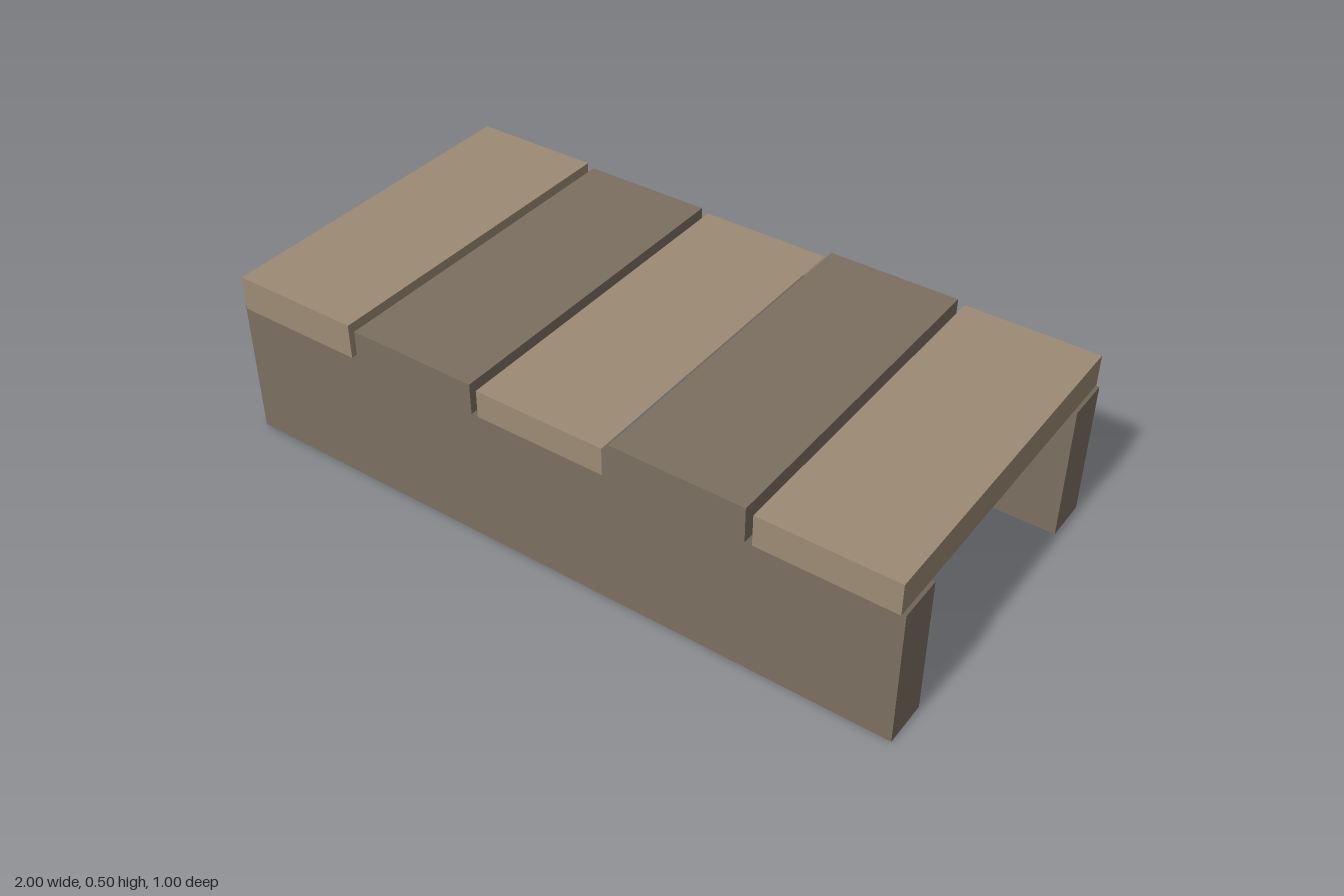
import * as THREE from 'three';

// Box face order: +x, -x, +y, -y, +z, -z
const PX = 0, NX = 1, PY = 2, NY = 3;

// Box shell with the listed faces left open
function openBox(w, h, d, omitted) {
  const geometry = new THREE.BoxGeometry(w, h, d);
  const index = Array.from(geometry.index.array);
  geometry.setIndex(index.filter((_, i) => !omitted.includes(Math.floor(i / 6))));
  geometry.clearGroups();
  return geometry;
}

export function createModel() {
  const group = new THREE.Group();
  const lightWood = new THREE.MeshStandardMaterial({ color: 0x9c8b74, side: THREE.DoubleSide });
  lightWood.name = 'lightWood';
  const darkWood = new THREE.MeshStandardMaterial({ color: 0x7c6f61, side: THREE.DoubleSide });
  darkWood.name = 'darkWood';

  const add = (name, geometry, material, x, y, z) => {
    const mesh = new THREE.Mesh(geometry, material);
    mesh.name = name;
    mesh.position.set(x, y, z);
    group.add(mesh);
  };

  // Two long support beams, open above and below
  for (const side of [1, -1]) {
    add(side > 0 ? 'frontBeam' : 'backBeam',
      openBox(2, 0.4, 0.13, [PY, NY]), darkWood, 0, 0.2, side * 0.43);
  }

  // Cross planks of uneven height; a side hidden by a taller neighbour is left open
  const heights = [0.1, 0.09, 0.08, 0.1, 0.09];
  heights.forEach((h, i) => {
    const omitted = [NY];
    if (heights[i + 1] > h) omitted.push(PX);
    if (heights[i - 1] > h) omitted.push(NX);
    add(`plank${i + 1}`, openBox(0.38, h, 1, omitted),
      i % 2 ? darkWood : lightWood, (i - 2) * 0.4, 0.4 + h / 2, 0);
  });

  return group;
}
